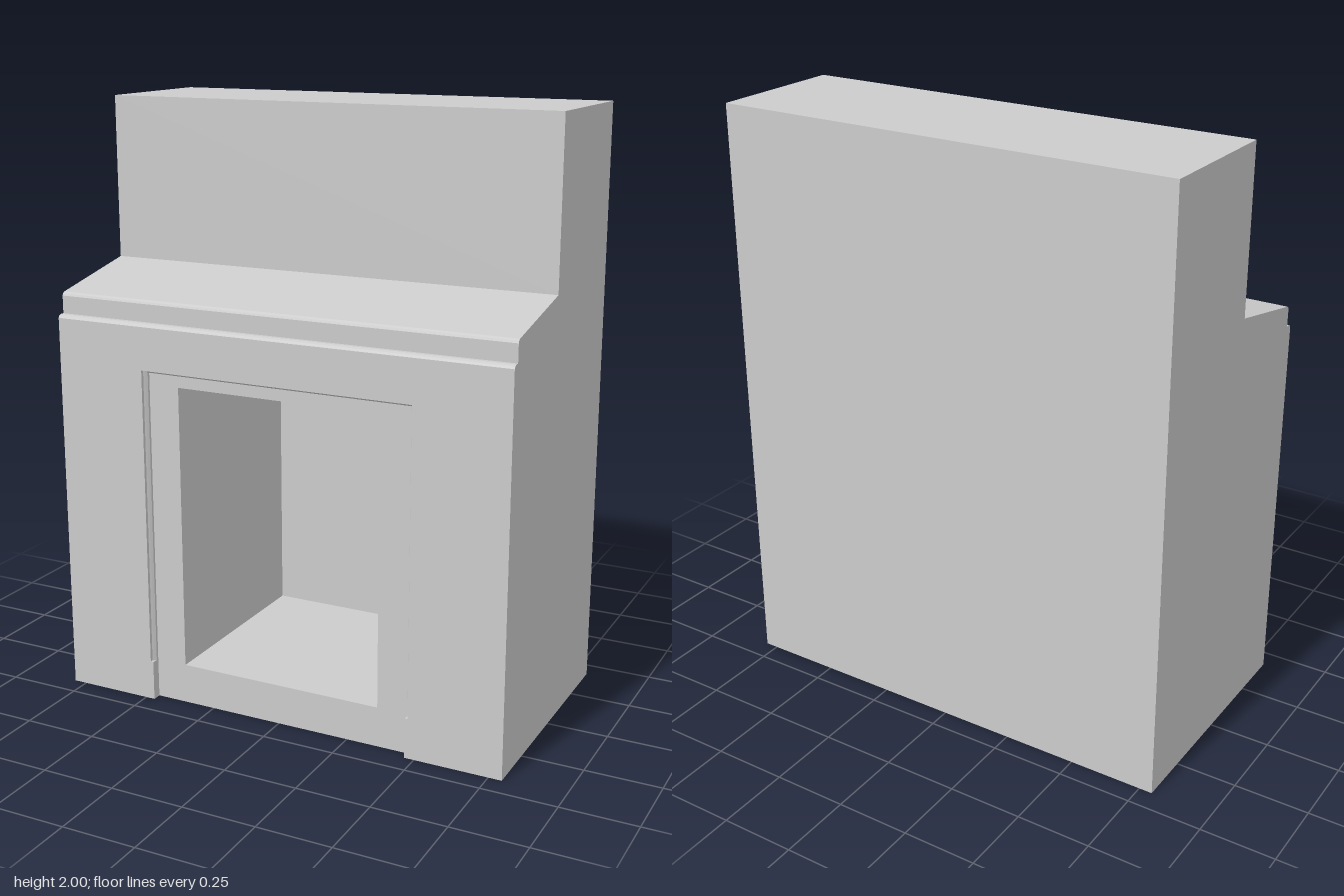
import * as THREE from 'three';

const W = 0.795;              // half width
const FRONT = 0.427, BACK = -0.427;
const PANEL_Z = 0.396;        // recessed panel around the opening
const FIRE_BACK = -0.295;     // rear wall of the firebox
const PLINTH = 0.136, SHELF_Y = 1.3;
const OPEN_W = 0.358, OPEN_TOP = 1.105;

const material = new THREE.MeshStandardMaterial({ color: 0xcccccc, flatShading: true });

// Quads between successive cross-sections of [x, y, z] points
function loft(sections) {
  const pos = [];
  for (let s = 0; s < sections.length - 1; s++) {
    const a = sections[s], b = sections[s + 1];
    for (let i = 0; i < a.length - 1; i++) {
      pos.push(...a[i], ...a[i + 1], ...b[i + 1], ...a[i], ...b[i + 1], ...b[i]);
    }
  }
  const g = new THREE.BufferGeometry();
  g.setAttribute('position', new THREE.Float32BufferAttribute(pos, 3));
  g.computeVertexNormals();
  return g;
}

// Flat face in the xy plane, optionally with a hole
function face(points, hole) {
  const toVec = ([x, y]) => new THREE.Vector2(x, y);
  const shape = new THREE.Shape(points.map(toVec));
  if (hole) shape.holes.push(new THREE.Path(hole.map(toVec)));
  return new THREE.ShapeGeometry(shape);
}

const rect = (w, y0, y1) => [[-w, y0], [w, y0], [w, y1], [-w, y1]];

export function createModel() {
  const group = new THREE.Group();
  const add = (name, geometry) => {
    const mesh = new THREE.Mesh(geometry, material);
    mesh.name = name;
    group.add(mesh);
  };

  // Side outline [z, y]: shelf moulding, sloping hood, chimney breast, back
  const outline = [
    [FRONT, SHELF_Y], [0.423, 1.307], [0.414, 1.311], [0.4, 1.311],
    [0.4, 1.37], [0.397, 1.377], [0.39, 1.382],
    [0.056, 1.45], [0.056, 2], [BACK, 2], [BACK, 0],
  ];
  add('chimneyBreast', loft([W, -W].map((x) => outline.map(([z, y]) => [x, y, z]))));

  // Side walls
  const side = [[FRONT, 0], ...outline];
  add('leftSide', face(side.map(([z, y]) => [-z, y])).rotateY(Math.PI / 2).translate(W, 0, 0));
  add('rightSide', face(side).rotateY(-Math.PI / 2).translate(-W, 0, 0));

  // Moulded edge of the recess, [half width, z] from front to panel
  const edge = [[0.477, FRONT], [0.477, 0.416], [0.472, 0.411], [0.467, 0.405], [0.467, PANEL_Z]];
  const outer = edge[0][0], inner = edge[edge.length - 1][0];
  const topOf = (w) => w + 0.679;
  add('recessMoulding', loft(edge.map(([w, z]) => [
    [w, PLINTH, z], [w, topOf(w), z], [-w, topOf(w), z], [-w, PLINTH, z],
  ])));

  // Square plinth blocks at the foot of the recess
  const ledge = [...edge, [inner, FRONT]];
  for (const s of [1, -1]) {
    const name = s > 0 ? 'left' : 'right';
    const ys = s > 0 ? [0, PLINTH] : [PLINTH, 0];
    add(name + 'PlinthCheek', loft([FRONT, PANEL_Z].map((z) => ys.map((y) => [s * inner, y, z]))));
    add(name + 'PlinthLedge',
      face(ledge.map(([x, z]) => [s * x, -z])).rotateX(-Math.PI / 2).translate(0, PLINTH, 0));
  }

  // Front wall, cut around the recess
  const half = [[W, SHELF_Y], [W, 0], [inner, 0], [inner, PLINTH], [outer, PLINTH], [outer, topOf(outer)]];
  const mirrored = half.map(([x, y]) => [-x, y]).reverse();
  add('frontWall', face([...half, ...mirrored]).translate(0, 0, FRONT));

  // Recessed panel with the fire opening
  add('surroundPanel',
    face(rect(inner, 0, topOf(inner)), rect(OPEN_W, PLINTH, OPEN_TOP)).translate(0, 0, PANEL_Z));

  // Firebox interior
  const ring = [
    [OPEN_W, PLINTH], [OPEN_W, OPEN_TOP], [-OPEN_W, OPEN_TOP], [-OPEN_W, PLINTH], [OPEN_W, PLINTH],
  ];
  add('fireboxLining', loft([PANEL_Z, FIRE_BACK].map((z) => ring.map(([x, y]) => [x, y, z]))));
  add('fireboxBack', face(rect(OPEN_W, PLINTH, OPEN_TOP)).translate(0, 0, FIRE_BACK));

  // Underside, notched where the panel is set back
  add('base', face([
    [-W, BACK], [W, BACK], [W, FRONT], [inner, FRONT], [inner, PANEL_Z],
    [-inner, PANEL_Z], [-inner, FRONT], [-W, FRONT],
  ]).rotateX(Math.PI / 2));

  return group;
}
